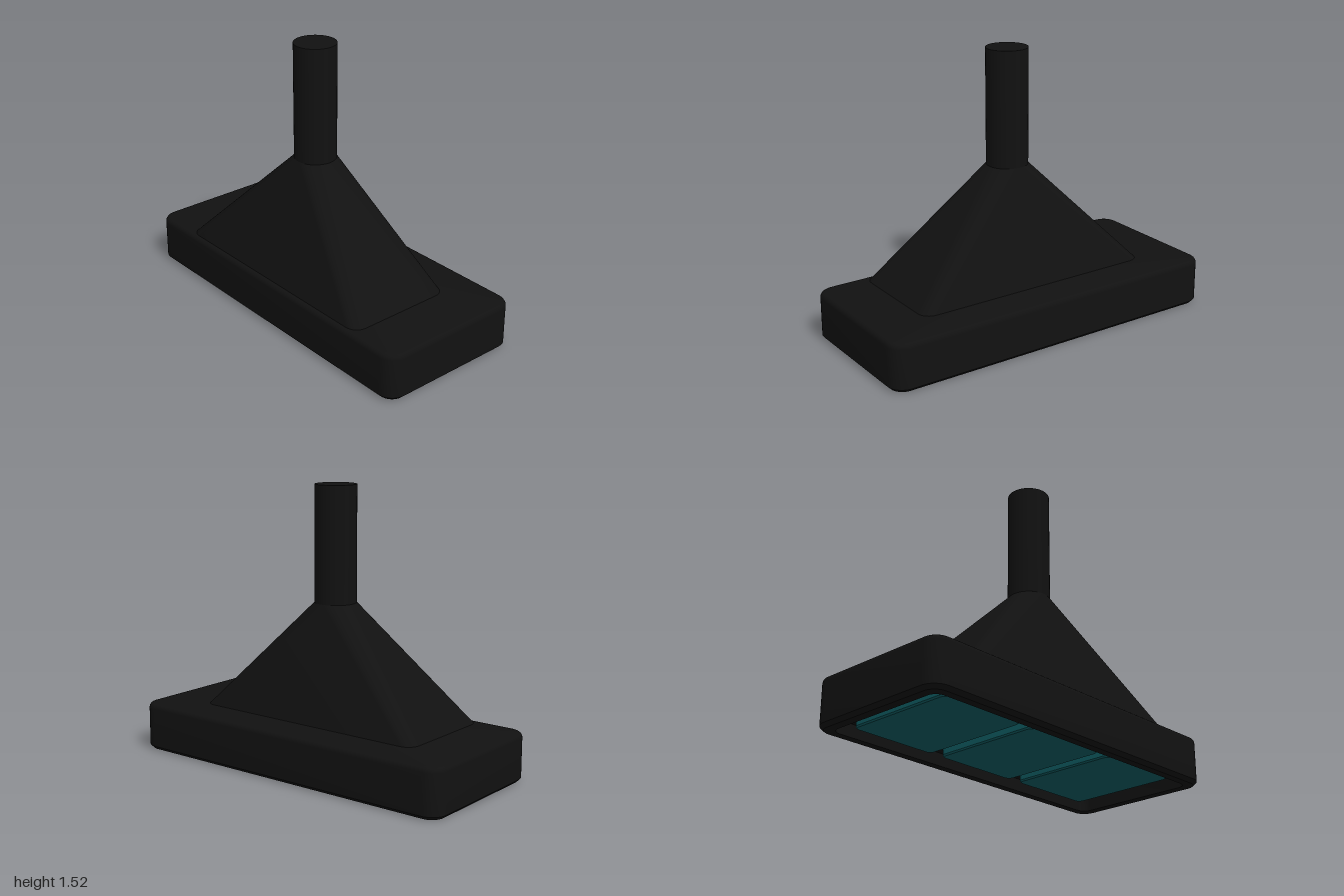
import * as THREE from 'three';
import { toCreasedNormals } from 'three/addons/utils/BufferGeometryUtils.js';

const CORNER_STEPS = 8;

// Rounded rectangle in the xz plane (a circle when all three sizes match)
function ring({ w, d, r, y, z = 0 }) {
  const points = [];
  for (let c = 0; c < 4; c++) {
    const sx = c === 0 || c === 3 ? 1 : -1;
    const sz = c < 2 ? 1 : -1;
    for (let i = 0; i <= CORNER_STEPS; i++) {
      const a = (c + i / CORNER_STEPS) * Math.PI / 2;
      points.push(new THREE.Vector3(
        sx * (w - r) + r * Math.cos(a), y, z + sz * (d - r) + r * Math.sin(a)));
    }
  }
  return points;
}

// Skin a list of cross-sections, closing both ends with flat caps
function loft(sections) {
  const cap = (s) => ({ w: 0, d: 0, r: 0, y: s.y, z: s.z });
  const rings = [cap(sections[0]), ...sections, cap(sections.at(-1))].map(ring);
  const positions = [];
  const addTriangle = (a, b, c) => {
    if (new THREE.Triangle(a, b, c).getArea() < 1e-8) return;
    for (const p of [a, b, c]) positions.push(p.x, p.y, p.z);
  };
  for (let k = 0; k < rings.length - 1; k++) {
    const low = rings[k], high = rings[k + 1];
    for (let i = 0; i < low.length; i++) {
      const j = (i + 1) % low.length;
      addTriangle(low[i], high[i], high[j]);
      addTriangle(low[i], high[j], low[j]);
    }
  }
  const geometry = new THREE.BufferGeometry();
  geometry.setAttribute('position', new THREE.Float32BufferAttribute(positions, 3));
  return toCreasedNormals(geometry, Math.PI / 6);
}

export function createModel() {
  const group = new THREE.Group();
  const black = new THREE.MeshStandardMaterial({ color: 0x111111 });
  const teal = new THREE.MeshStandardMaterial({ color: 0x0e5a60 });
  const add = (name, geometry, material) => {
    const mesh = new THREE.Mesh(geometry, material);
    mesh.name = name;
    group.add(mesh);
    return mesh;
  };

  // Housing: recessed underside, bevelled foot, straight wall, rounded top edge
  const W = 1, D = 0.43, R = 0.09, TOP = 0.265, EDGE = 0.028;
  const housing = [
    { w: 0.93, d: 0.365, r: 0.05, y: 0.07 },
    { w: 0.93, d: 0.365, r: 0.05, y: 0 },
    { w: W - 0.02, d: D - 0.02, r: R - 0.02, y: 0 },
    { w: W, d: D, r: R, y: 0.02 },
  ];
  for (let i = 0; i <= 4; i++) {
    const a = i / 4 * Math.PI / 2;
    const inset = EDGE * (1 - Math.cos(a));
    housing.push({ w: W - inset, d: D - inset, r: R - inset, y: TOP - EDGE * (1 - Math.sin(a)) });
  }
  add('housing', loft(housing), black);

  // Hood tapering from a rounded rectangle to the round stem
  const stemZ = 0.068, stemR = 0.114, stemBase = 0.885, stemTop = 1.52;
  add('hood', loft([
    { w: 0.71, d: 0.315, r: 0.07, y: TOP - 0.002, z: 0.09 },
    { w: stemR, d: stemR, r: stemR, y: stemBase, z: stemZ },
  ]), black);

  // Stem
  const stem = add('stem',
    new THREE.CylinderGeometry(stemR, stemR, stemTop - stemBase, 36), black);
  stem.position.set(0, (stemTop + stemBase) / 2, stemZ);

  // Three lenses hanging inside the recess
  const lens = loft([
    { w: 0.25, d: 0.315, r: 0.03, y: 0.028 },
    { w: 0.257, d: 0.322, r: 0.037, y: 0.036 },
    { w: 0.257, d: 0.322, r: 0.037, y: 0.072 },
  ]);
  for (const i of [-1, 0, 1]) add('lens', lens, teal).position.x = i * 0.58;

  return group;
}
